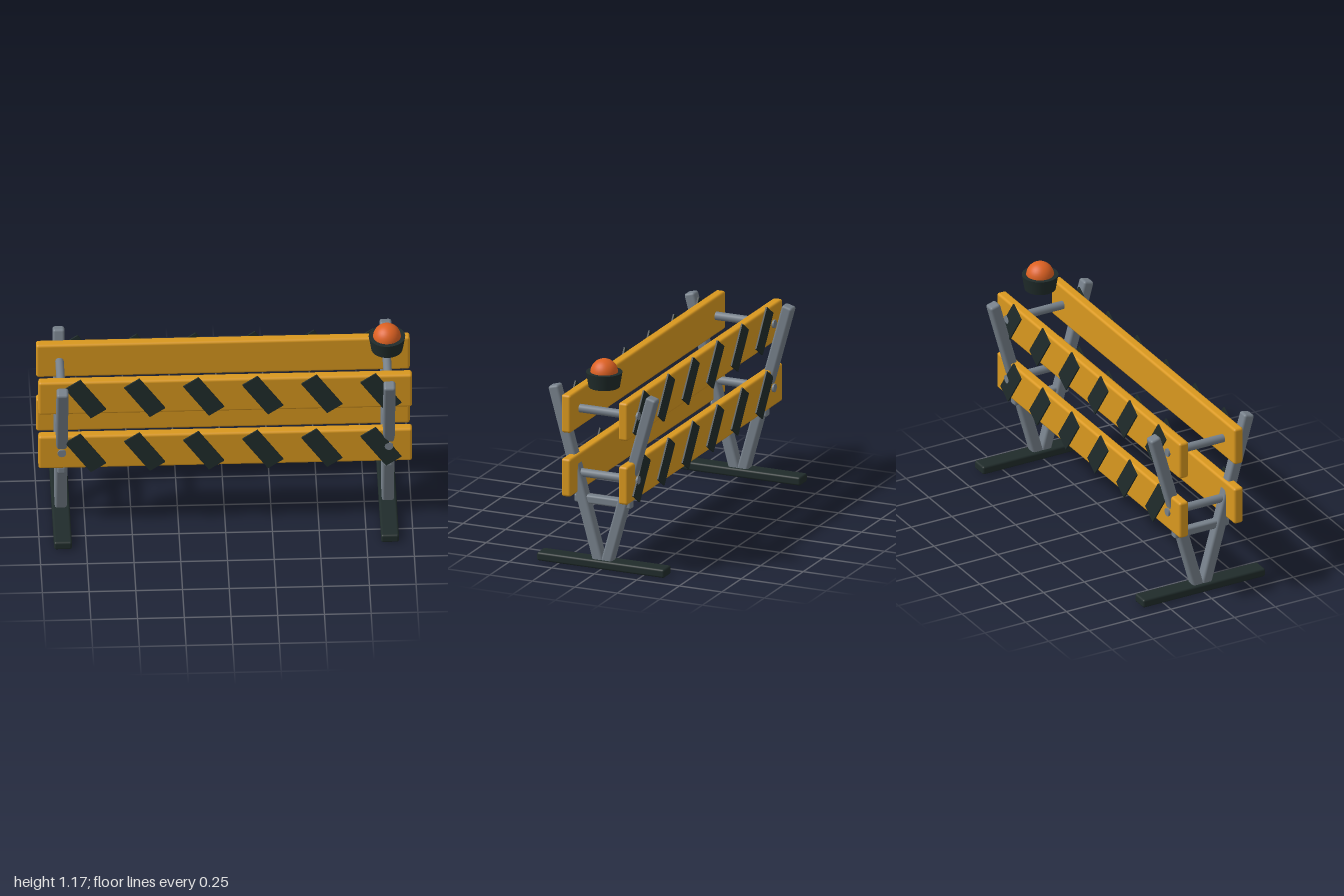
import * as THREE from 'three';
import { RoundedBoxGeometry } from 'three/addons/geometries/RoundedBoxGeometry.js';

function material(name, color) {
  const m = new THREE.MeshStandardMaterial({ color });
  m.name = name;
  return m;
}

export function createModel() {
  const yellow = material('boardYellow', 0xd9981f);
  const dark = material('rubberDark', 0x202c2b);
  const grey = material('steelGrey', 0x76808a);
  const orange = material('lampOrange', 0xdd6122);

  const model = new THREE.Group();
  model.name = 'barricade';

  function add(name, geometry, mat, x, y, z, parent = model) {
    const mesh = new THREE.Mesh(geometry, mat);
    mesh.name = name;
    mesh.position.set(x, y, z);
    parent.add(mesh);
    return mesh;
  }

  // Boards with slanted stripes on their outer faces
  const boardGeo = new RoundedBoxGeometry(2, 0.213, 0.056, 3, 0.014);
  const stripeGeo = new THREE.BoxGeometry(0.1, 0.24, 0.009);
  for (const side of [1, -1]) {
    for (const y of [0.884, 0.525]) {
      const panel = new THREE.Group();
      panel.name = 'stripedPanel';
      model.add(panel);
      add('board', boardGeo, yellow, 0, y, side * 0.168, panel);
      for (let i = 0; i < 6; i++) {
        const stripe = add('stripe', stripeGeo, dark, -0.748 + i * 0.316, y, side * 0.2005, panel);
        stripe.rotation.z = THREE.MathUtils.degToRad(35);
      }
    }
  }

  // V-shaped stands: two legs, cross rods, brace and foot
  const legBottom = new THREE.Vector2(0.014, 0.014); // z, y
  const legTop = new THREE.Vector2(0.289, 1.0);
  const legLength = legBottom.distanceTo(legTop);
  const legAngle = Math.atan2(legTop.x - legBottom.x, legTop.y - legBottom.y);
  const legGeo = new RoundedBoxGeometry(0.064, legLength, 0.062, 3, 0.014);
  const rodGeo = new THREE.CylinderGeometry(0.023, 0.023, 0.412, 20).rotateX(Math.PI / 2);
  const braceGeo = new RoundedBoxGeometry(0.048, 0.048, 0.335, 3, 0.012);
  const footGeo = new RoundedBoxGeometry(0.096, 0.048, 0.75, 3, 0.012);
  for (const x of [-0.875, 0.875]) {
    const stand = new THREE.Group();
    stand.name = 'stand';
    stand.position.x = x;
    model.add(stand);
    for (const side of [1, -1]) {
      const leg = add('leg', legGeo, grey, 0, (legBottom.y + legTop.y) / 2,
        side * (legBottom.x + legTop.x) / 2, stand);
      leg.rotation.x = side * legAngle;
    }
    for (const y of [0.886, 0.526]) add('crossRod', rodGeo, grey, 0, y, 0, stand);
    add('brace', braceGeo, grey, 0, 0.385, 0, stand);
    add('foot', footGeo, dark, 0, 0.034, 0, stand);
  }

  // Warning lamp
  const lamp = new THREE.Group();
  lamp.name = 'warningLamp';
  lamp.position.x = 0.872;
  model.add(lamp);
  add('lampBase', new THREE.CylinderGeometry(0.098, 0.084, 0.084, 32), dark, 0, 1.068, 0, lamp);
  add('lampDome', new THREE.SphereGeometry(0.075, 32, 20), orange, 0, 1.106, 0, lamp);

  return model;
}
